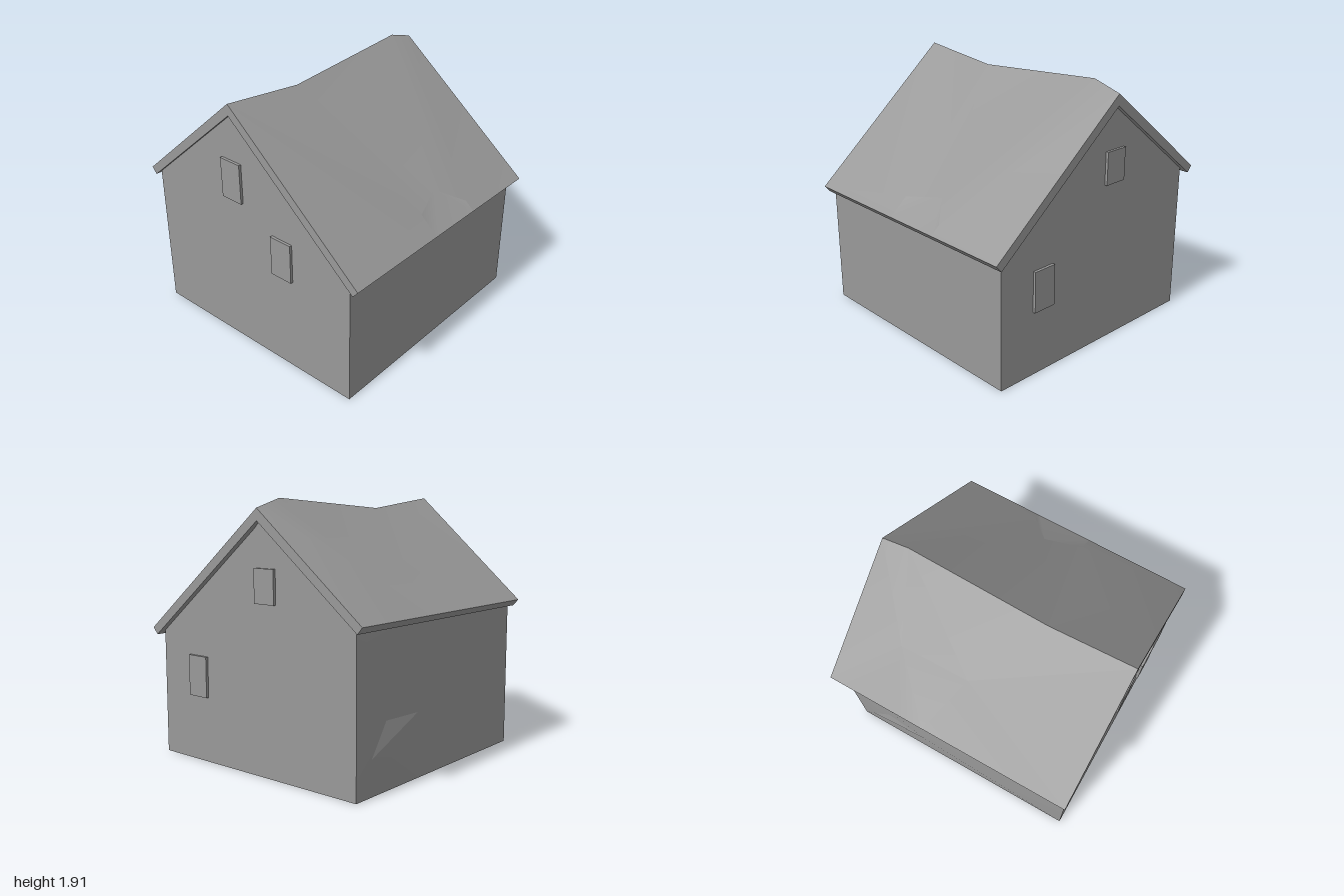
import * as THREE from 'three';

const paint = new THREE.MeshStandardMaterial({ color: 0x999999, side: THREE.DoubleSide });
const { lerp } = THREE.MathUtils;

function addMesh(parent, name, geometry) {
  const mesh = new THREE.Mesh(geometry, paint);
  mesh.name = name;
  parent.add(mesh);
  return mesh;
}

// Smooth-shaded surface from a few points and triangles; flip reverses the corners
function surface(points, tris, flip = false) {
  const geo = new THREE.BufferGeometry();
  geo.setAttribute('position', new THREE.Float32BufferAttribute(points.flat(), 3));
  geo.setIndex(tris.flatMap(([a, b, c]) => (flip ? [a, c, b] : [a, b, c])));
  geo.computeVertexNormals();
  return geo;
}

const RIDGE_X = -0.11;

// Ridge points shared by both slopes: [t from ridge to eave, z, sag]
const ridge = [[0, 0.97, 0], [0, 0.32, 0.075], [0, -0.75, 0], [0, -0.97, 0.065]];

// Left slope: a valley from the ridge to the eave
const leftSlope = {
  points: [
    ...ridge,
    [0.55, -0.03, 0.055], [0.57, -0.55, 0],
    [1, 0.97, 0], [1, -0.19, 0], [1, -0.4, 0], [1, -0.97, 0],
  ],
  tris: [
    [0, 1, 4], [0, 4, 6], [4, 7, 6], [1, 2, 4], [2, 5, 4],
    [4, 5, 7], [5, 8, 7], [5, 9, 8], [2, 3, 5], [3, 9, 5],
  ],
  ends: [6, 9],
  eaveTop: [-1, 1.135],
  eaveBottom: [-0.96, 1.088],
};

// Right slope: a valley into a dent whose flatter patch has its own hard-edged points
const dent = [[0.784, -0.16, 0.045], [0.874, 0.12, 0], [0.937, -0.33, 0]];
const dentEave = [[1, 0.12, 0], [1, -0.33, 0]];
const rightSlope = {
  points: [
    ...ridge, ...dent,
    [1, 0.97, 0], ...dentEave, [1, -0.97, 0],
    ...dent, ...dentEave,
  ],
  tris: [
    [0, 1, 5], [0, 5, 7], [5, 8, 7], [1, 4, 5], [1, 2, 4],
    [2, 6, 4], [2, 3, 6], [3, 10, 6], [6, 10, 9],
    [11, 14, 12], [11, 15, 14], [11, 13, 15],
  ],
  ends: [7, 10],
  eaveTop: [1, 0.95],
  eaveBottom: [0.957, 0.9],
};

// One thick roof slope: upper and lower skin closed by verges and an eave edge
function roofSlope(name, { points, tris, ends, eaveTop, eaveBottom }) {
  const slope = new THREE.Group();
  slope.name = name;
  const isRight = eaveTop[0] > 0;
  const skin = (ridgeY, [eaveX, eaveY]) => points.map(([t, z, sag]) => [
    lerp(RIDGE_X, eaveX, t), lerp(ridgeY, eaveY, t) - sag, z,
  ]);
  const top = skin(1.91, eaveTop);
  const under = skin(1.825, eaveBottom);
  const strip = (a, b) => surface([top[a], top[b], under[b], under[a]], [[0, 2, 1], [0, 3, 2]], isRight);
  const [front, back] = ends;
  addMesh(slope, 'roofTop', surface(top, tris, isRight));
  addMesh(slope, 'roofUnderside', surface(under, tris, !isRight));
  addMesh(slope, 'frontVerge', strip(front, 0));
  addMesh(slope, 'backVerge', strip(3, back));
  addMesh(slope, 'eaveEdge', strip(back, front));
  return slope;
}

export function createModel() {
  const house = new THREE.Group();
  house.name = 'house';

  // Walls with lopsided gables, one side lower than the other
  const gable = new THREE.Shape([
    [-0.92, 0], [0.92, 0], [0.92, 0.937], [RIDGE_X, 1.831], [-0.92, 1.132],
  ].map(([x, y]) => new THREE.Vector2(x, y)));
  const walls = new THREE.ExtrudeGeometry(gable, { depth: 1.875, bevelEnabled: false });
  addMesh(house, 'walls', walls.translate(0, 0, -0.925));

  // Left wall bulges gently outwards, with a small hard-edged crease towards the back
  const crease = [[-0.95, 0.48, -0.3], [-0.925, 0.48, -0.62], [-0.938, 0.26, -0.79]];
  addMesh(house, 'bulgingWall', surface([
    [-0.92, 0, -0.925], [-0.92, 0, 0.95], [-0.92, 1.12, 0.95], [-0.92, 1.12, -0.925],
    ...crease, ...crease,
  ], [
    [0, 1, 6], [1, 4, 6], [1, 2, 4], [2, 3, 4], [3, 5, 4], [3, 6, 5], [0, 6, 3], [7, 8, 9],
  ]));

  // Roof
  house.add(roofSlope('leftRoof', leftSlope), roofSlope('rightRoof', rightSlope));

  // Windows: thin panels on both gables [name, x, y, z, height]
  for (const [name, x, y, z, height] of [
    ['frontUpperWindow', -0.128, 1.335, 0.95, 0.3],
    ['frontLowerWindow', 0.322, 0.89, 0.95, 0.3],
    ['backUpperWindow', -0.142, 1.325, -0.925, 0.24],
    ['backLowerWindow', 0.54, 0.63, -0.925, 0.3],
  ]) {
    addMesh(house, name, new THREE.BoxGeometry(0.182, height, 0.04)).position.set(x, y, z);
  }

  return house;
}
